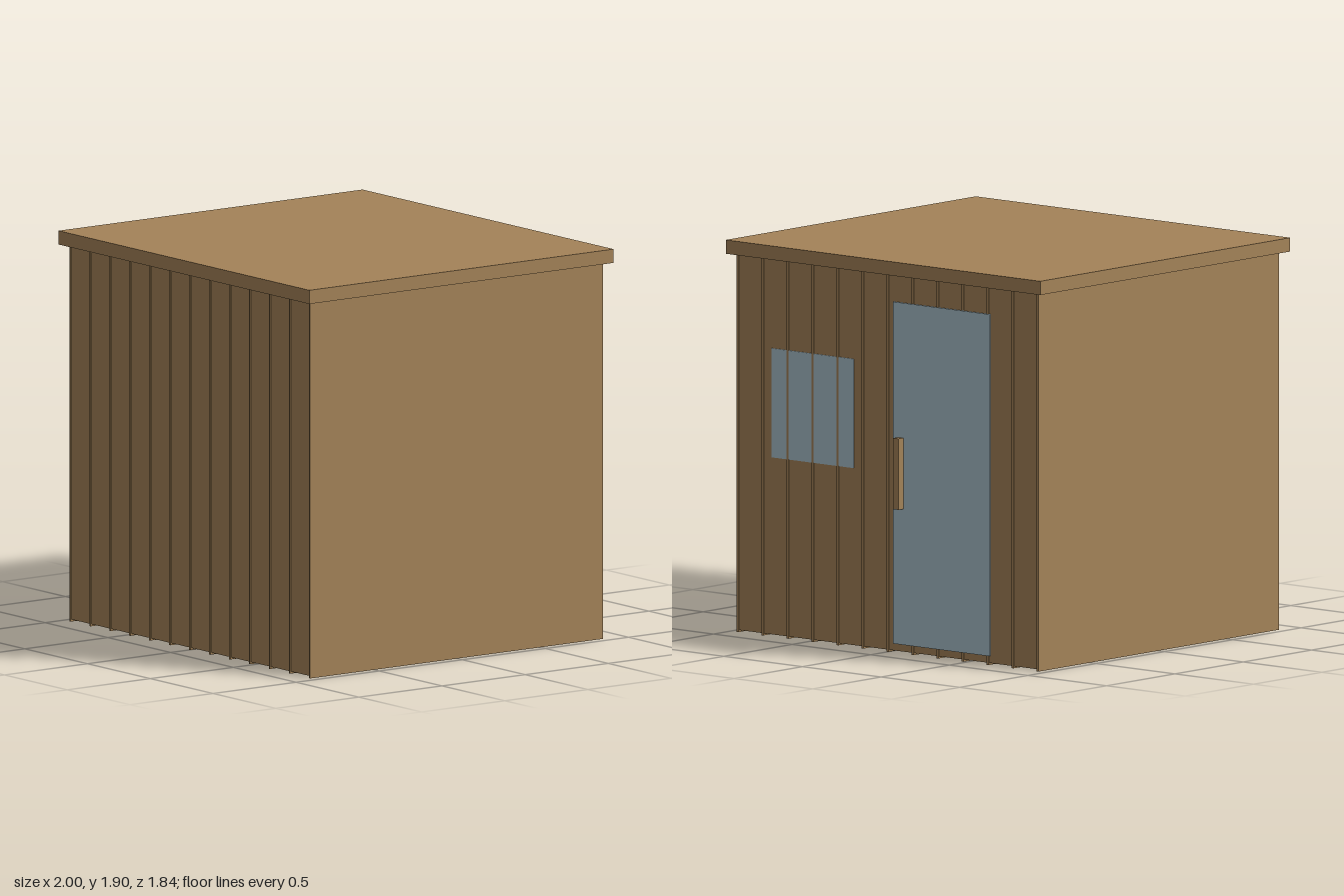
import * as THREE from 'three';

const wood = new THREE.MeshStandardMaterial({ color: 0xa48358 });
wood.name = 'wood';
const glass = new THREE.MeshStandardMaterial({ color: 0xa8c0cc });
glass.name = 'paleGlass';

// Box given by its limits on each axis
function box(name, material, [x0, x1], [y0, y1], [z0, z1]) {
  const mesh = new THREE.Mesh(new THREE.BoxGeometry(x1 - x0, y1 - y0, z1 - z0), material);
  mesh.position.set((x0 + x1) / 2, (y0 + y1) / 2, (z0 + z1) / 2);
  mesh.name = name;
  return mesh;
}

export function createModel() {
  const cabin = new THREE.Group();
  cabin.name = 'cabin';

  // Solid body and overhanging flat roof
  cabin.add(box('body', wood, [-0.953, 0.953], [0.01, 1.837], [-0.871, 0.879]));
  cabin.add(box('roof', wood, [-1, 1], [1.837, 1.904], [-0.91, 0.92]));

  // Thin battens running through the full depth, just proud of the walls and floor
  const battens = new THREE.Group();
  battens.name = 'battens';
  const count = 12, spacing = 0.159, half = 0.005;
  for (let i = 0; i <= count; i++) {
    const x = (i - count / 2) * spacing;
    battens.add(box('batten', wood, [x - half, x + half], [0, 1.836], [-0.877, 0.885]));
  }
  cabin.add(battens);

  // Window pane sits behind the batten faces, the door in front of them
  cabin.add(box('window', glass, [0.217, 0.741], [0.87, 1.4], [-0.875, -0.868]));
  cabin.add(box('door', glass, [-0.654, -0.041], [0.045, 1.705], [-0.883, -0.875]));
  cabin.add(box('doorHandle', wood, [-0.107, -0.072], [0.705, 1.05], [-0.92, -0.882]));

  return cabin;
}
